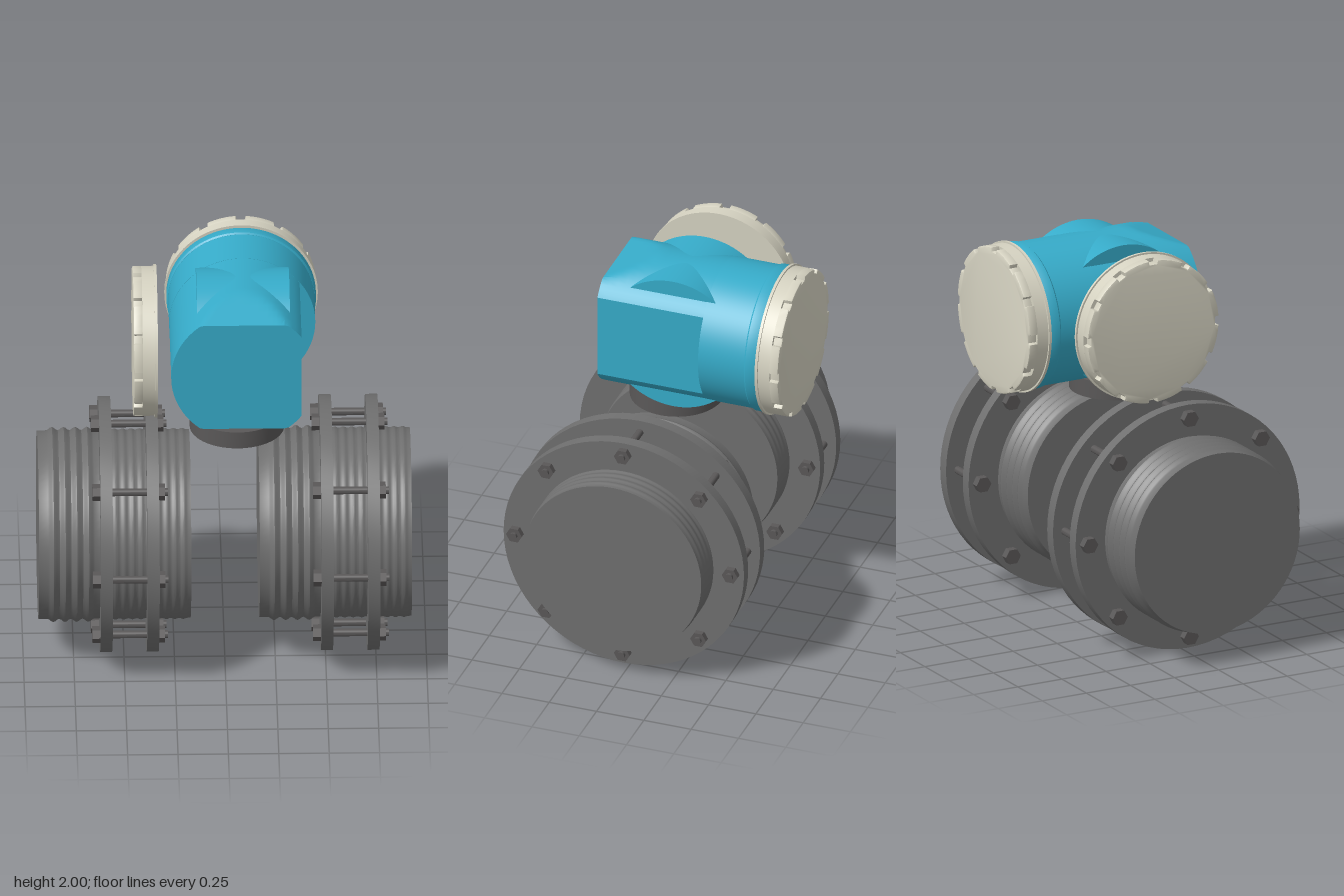
import * as THREE from 'three';
import { toCreasedNormals } from 'three/addons/utils/BufferGeometryUtils.js';

const material = (name, color) => {
  const m = new THREE.MeshStandardMaterial({ color });
  m.name = name;
  return m;
};

export function createModel() {
  const grey = material('pipe grey', 0x6f6f6f);
  const dark = material('bolt grey', 0x5a5858);
  const teal = material('housing teal', 0x36abc9);
  const cream = material('cover cream', 0xd5d2c1);
  const model = new THREE.Group();

  const add = (parent, name, geometry, mat, x = 0, y = 0, z = 0) => {
    const mesh = new THREE.Mesh(toCreasedNormals(geometry, 0.6), mat);
    mesh.name = name;
    mesh.position.set(x, y, z);
    parent.add(mesh);
    return mesh;
  };
  // cylinder lying along x, spanning x0..x1
  const rodX = (r, x0, x1, sides, r1 = r) =>
    new THREE.CylinderGeometry(r1, r, x1 - x0, sides).rotateZ(-Math.PI / 2).translate((x0 + x1) / 2, 0, 0);
  // cylinder lying along z, spanning z0..z1
  const rodZ = (r, z0, z1, sides, rows = 1) =>
    new THREE.CylinderGeometry(r, r, z1 - z0, sides, rows).rotateX(Math.PI / 2).translate(0, 0, (z0 + z1) / 2);

  // ---- flanged bellows couplings ----
  const pipeProfile = () => {
    const pts = [new THREE.Vector2(0, 0), new THREE.Vector2(0.468, 0)];
    const ripple = (from, count, pitch, height) => {
      for (let i = 0; i <= count * 6; i++) {
        const r = 0.468 + height * (1 - Math.cos((i / 6) * Math.PI * 2)) / 2;
        pts.push(new THREE.Vector2(r, from + (i / 6) * pitch));
      }
    };
    ripple(0.045, 4, 0.058, 0.016);
    ripple(0.32, 10, 0.042, 0.006);
    pts.push(new THREE.Vector2(0.468, 0.755), new THREE.Vector2(0, 0.755));
    return pts;
  };

  const makeCoupling = (name, startX) => {
    const g = new THREE.Group();
    g.name = name;
    g.position.set(startX, 0.635, 0.034);
    add(g, 'corrugatedPipe', new THREE.LatheGeometry(pipeProfile(), 72).rotateZ(-Math.PI / 2), grey);
    for (const x of [0.304, 0.535]) add(g, 'flange', rodX(0.635, x, x + 0.06, 72), grey);
    for (let i = 0; i < 8; i++) {
      const a = (i * Math.PI) / 4;
      const bolt = new THREE.Group();
      bolt.name = 'tieBolt';
      bolt.position.set(0, Math.cos(a) * 0.57, Math.sin(a) * 0.57);
      add(bolt, 'boltHead', rodX(0.042, 0.264, 0.304, 6), dark);
      add(bolt, 'boltRod', rodX(0.019, 0.29, 0.64, 16), dark);
      add(bolt, 'boltNut', rodX(0.042, 0.595, 0.625, 6), dark);
      g.add(bolt);
    }
    model.add(g);
  };
  makeCoupling('rightCoupling', -0.925);
  makeCoupling('leftCoupling', 0.17);

  // ---- housing: two crossing cylinders, the long one chamfered and side-flattened ----
  const housing = new THREE.Group();
  housing.name = 'housing';
  housing.position.set(0.095, 1.618, 0);
  model.add(housing);

  const front = rodZ(0.362, -0.245, 0.315, 96, 13);
  const p = front.attributes.position;
  for (let i = 0; i < p.count; i++) {
    const t = Math.max(0, (p.getZ(i) - 0.1) / 0.215);
    const h = 0.362 - 0.07 * t;
    p.setX(i, Math.min(p.getX(i), 0.285));
    p.setY(i, THREE.MathUtils.clamp(p.getY(i), -h, h));
  }
  add(housing, 'frontBody', front, teal);
  add(housing, 'rearBody', rodZ(0.363, -0.5, -0.245, 96), teal);
  add(housing, 'crossBody', rodX(0.36, -0.23, 0.23, 96), teal, 0, 0, -0.065);
  const collar = [[0, 0], [0.364, 0], [0.371, 0.008], [0.371, 0.055], [0.365, 0.065], [0, 0.065]]
    .map(([r, y]) => new THREE.Vector2(r, y));
  add(housing, 'rearCollar', new THREE.LatheGeometry(collar, 96).rotateX(-Math.PI / 2), teal, 0, 0, -0.488);

  // ---- screw covers with a notched rim, built along +z from their flange ----
  const makeCover = (name) => {
    const g = new THREE.Group();
    g.name = name;
    add(g, 'coverFlange', rodZ(0.381, 0, 0.014, 96), cream);
    add(g, 'coverWall', rodZ(0.372, 0.01, 0.075, 96), cream);
    const rim = new THREE.Shape();
    const notches = 12, step = (Math.PI * 2) / notches;
    const point = (r, a) => [r * Math.cos(a), r * Math.sin(a)];
    for (let i = 0; i < notches; i++) {
      const a = i * step;
      if (i === 0) rim.moveTo(...point(0.345, a - 0.075));
      else rim.lineTo(...point(0.345, a - 0.075));
      rim.lineTo(...point(0.345, a + 0.075));
      for (let k = 0; k <= 6; k++) rim.lineTo(...point(0.364, a + 0.085 + (k / 6) * (step - 0.17)));
    }
    rim.closePath();
    const geo = new THREE.ExtrudeGeometry(rim, {
      depth: 0.037, bevelEnabled: true, bevelSize: 0.008, bevelThickness: 0.008, bevelSegments: 2,
    });
    add(g, 'notchedRim', geo, cream, 0, 0, 0.075);
    model.add(g);
    return g;
  };
  const rear = makeCover('rearCover');
  rear.position.set(0.095, 1.618, -0.55);
  rear.rotation.y = Math.PI;
  const side = makeCover('sideCover');
  side.position.set(-0.332, 1.618, -0.065);
  side.rotation.y = -Math.PI / 2;

  // ---- neck below the housing ----
  add(model, 'neck', new THREE.CylinderGeometry(0.235, 0.235, 0.09, 64), dark, 0.065, 1.22, 0.01);

  return model;
}
